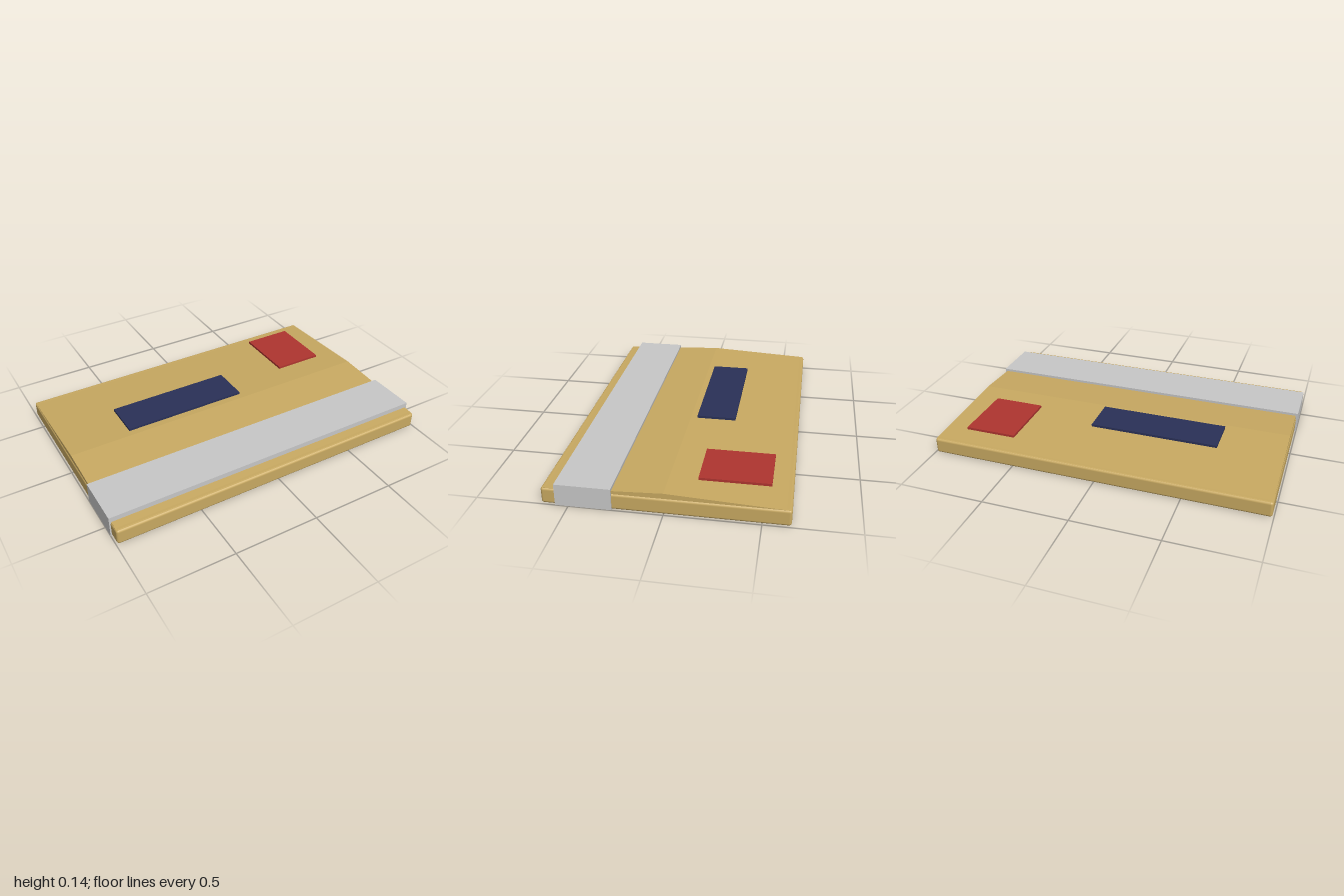
import * as THREE from 'three';
import { RoundedBoxGeometry } from 'three/addons/geometries/RoundedBoxGeometry.js';

const material = (name, color) => {
  const m = new THREE.MeshStandardMaterial({ color });
  m.name = name;
  return m;
};

export function createModel() {
  const group = new THREE.Group();
  group.name = 'parcel';

  const cardboard = material('cardboard', 0xc9aa62);
  const tape = material('tape', 0xc8c8c8);
  const navy = material('navy', 0x2a3158);
  const red = material('red', 0xb03530);

  const add = (name, geometry, mat, x = 0, y = 0, z = 0) => {
    const mesh = new THREE.Mesh(geometry, mat);
    mesh.name = name;
    mesh.position.set(x, y, z);
    group.add(mesh);
  };

  // Box spanning the given limits on each axis
  const addBox = (name, mat, [x0, x1], [y0, y1], [z0, z1]) =>
    add(name, new THREE.BoxGeometry(x1 - x0, y1 - y0, z1 - z0), mat,
      (x0 + x1) / 2, (y0 + y1) / 2, (z0 + z1) / 2);

  // Flat body with softened edges
  add('body', new RoundedBoxGeometry(1.984, 0.093, 1.294, 3, 0.015), cardboard, 0, 0.0465, 0);

  // Shallow ridged lid: triangular profile extruded across the width
  const profile = new THREE.Shape([
    new THREE.Vector2(-0.64, 0.092),
    new THREE.Vector2(0.64, 0.092),
    new THREE.Vector2(0, 0.123),
  ]);
  const lid = new THREE.ExtrudeGeometry(profile, { depth: 1.976, bevelEnabled: false });
  lid.translate(0, 0, -0.988).rotateY(Math.PI / 2);
  add('ridgedLid', lid, cardboard);

  // Band wrapped around the front part, its underside just inside the body
  addBox('band', tape, [-1, 1], [0.001, 0.125], [0.27, 0.57]);

  // Raised panels on top
  addBox('labelPanel', navy, [-0.61, 0.15], [0.124, 0.138], [-0.27, -0.04]);
  addBox('stampPanel', red, [0.533, 0.835], [0.124, 0.138], [-0.535, -0.155]);

  return group;
}
